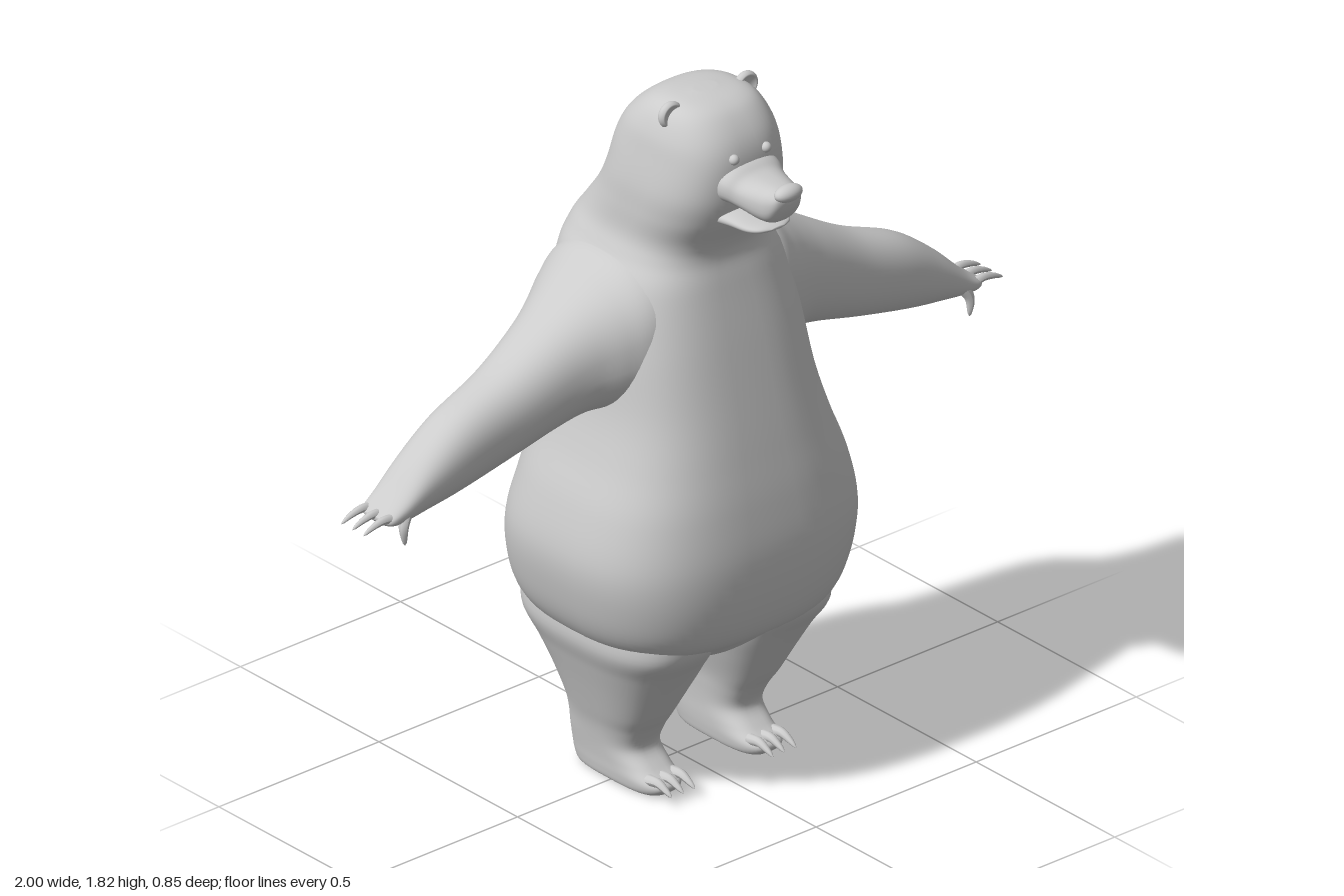
import * as THREE from 'three';

const material = new THREE.MeshStandardMaterial({ color: 0xcccccc, roughness: 0.8 });

// Catmull-Rom interpolation of a whole row of numbers
function sampleRows(rows, u) {
  const last = rows.length - 1;
  const i = Math.min(Math.floor(u), last - 1), f = u - i;
  const p = k => rows[Math.max(0, Math.min(last, k))];
  return rows[0].map((_, c) => {
    const a = p(i - 1)[c], b = p(i)[c], d = p(i + 1)[c], e = p(i + 2)[c];
    return b + 0.5 * f * (d - a + f * (2 * a - 5 * b + 4 * d - e + f * (3 * (b - d) + e - a)));
  });
}

// Closed skin through superellipse sections [t, a0, a1, b0, b1, exponent] along an axis.
// The a and b axes follow in cyclic order: y -> z, x;  x -> y, z;  z -> x, y.
function loft(axis, rows, steps = 6, sides = 48) {
  const place = {
    x: (t, a, b) => [t, a, b],
    y: (t, a, b) => [b, t, a],
    z: (t, a, b) => [a, b, t],
  }[axis];
  const pos = [], index = [], rings = (rows.length - 1) * steps;
  const power = (v, n) => Math.sign(v) * Math.pow(Math.abs(v), 2 / n);
  const middle = r => place(r[0], (r[1] + r[2]) / 2, (r[3] + r[4]) / 2);
  for (let i = 0; i <= rings; i++) {
    const [t, a0, a1, b0, b1, n] = sampleRows(rows, i / steps);
    for (let j = 0; j < sides; j++) {
      const w = (j / sides) * Math.PI * 2;
      pos.push(...place(t,
        (a0 + a1) / 2 + (a1 - a0) / 2 * power(Math.cos(w), n),
        (b0 + b1) / 2 + (b1 - b0) / 2 * power(Math.sin(w), n)));
    }
  }
  const first = pos.length / 3;
  pos.push(...middle(rows[0]), ...middle(rows[rows.length - 1]));
  for (let j = 0; j < sides; j++) {
    const k = (j + 1) % sides, top = rings * sides;
    for (let i = 0; i < rings; i++) {
      const a = i * sides + j, b = i * sides + k;
      index.push(a, b, a + sides, b, b + sides, a + sides);
    }
    index.push(first, k, j, first + 1, top + j, top + k);
  }
  const g = new THREE.BufferGeometry();
  g.setAttribute('position', new THREE.Float32BufferAttribute(pos, 3));
  g.setIndex(index);
  g.computeVertexNormals();
  return g;
}

// Tube whose radius follows a rule along its length
function taperedTube(points, radius, seg = 12, sides = 10) {
  const curve = new THREE.CatmullRomCurve3(points.map(p => new THREE.Vector3(...p)));
  const g = new THREE.TubeGeometry(curve, seg, 1, sides);
  const pos = g.attributes.position, v = new THREE.Vector3();
  for (let k = 0; k < pos.count; k++) {
    const u = Math.floor(k / (sides + 1)) / seg, c = curve.getPointAt(u);
    v.fromBufferAttribute(pos, k).sub(c).multiplyScalar(radius(u)).add(c);
    pos.setXYZ(k, v.x, v.y, v.z);
  }
  g.computeVertexNormals();
  return g;
}
const claw = (points, r) => taperedTube(points, u => r * Math.sqrt(Math.max(0, 1 - u)));

function ellipsoid(rx, ry, rz, x, y, z) {
  return new THREE.SphereGeometry(1, 24, 16).scale(rx, ry, rz).translate(x, y, z);
}

// Rounded ear with a hollow front
function earGeometry() {
  const g = new THREE.SphereGeometry(1, 32, 24).rotateX(Math.PI / 2);
  const p = g.attributes.position;
  for (let i = 0; i < p.count; i++) if (p.getZ(i) > 0.6) p.setZ(i, 1.2 - p.getZ(i));
  g.scale(0.034, 0.034, 0.02);
  g.computeVertexNormals();
  return g.rotateZ(-0.4).translate(0.118, 1.79, 0.11);
}

export function createModel() {
  const model = new THREE.Group();
  model.name = 'bear';
  const add = (name, geometry) => {
    const mesh = new THREE.Mesh(geometry, material);
    mesh.name = name;
    model.add(mesh);
  };
  const addPair = (name, geometry) => {
    const other = geometry.clone().scale(-1, 1, 1);
    other.index.array.reverse(); // restores outward faces
    add(name + 'Left', geometry);
    add(name + 'Right', other);
  };

  // Torso, neck and head in one skin: [y, back, front, half width, exponent]
  const body = [
    [0.31, -0.13, 0.1, 0.05, 2], [0.35, -0.2, 0.19, 0.15, 2.2], [0.41, -0.27, 0.265, 0.29, 2.5],
    [0.46, -0.325, 0.325, 0.345, 2.8], [0.55, -0.34, 0.353, 0.38, 2.9], [0.67, -0.33, 0.36, 0.397, 2.9],
    [0.8, -0.3, 0.343, 0.37, 2.9], [0.92, -0.283, 0.318, 0.325, 2.9], [1.04, -0.277, 0.29, 0.292, 2.9],
    [1.2, -0.272, 0.25, 0.272, 2.9], [1.34, -0.268, 0.212, 0.245, 2.8], [1.41, -0.255, 0.195, 0.208, 2.7],
    [1.46, -0.225, 0.207, 0.188, 2.6], [1.53, -0.175, 0.245, 0.184, 2.6], [1.6, -0.14, 0.265, 0.18, 2.7],
    [1.68, -0.118, 0.268, 0.166, 2.7], [1.74, -0.085, 0.252, 0.152, 2.6], [1.79, -0.03, 0.215, 0.126, 2.5],
    [1.813, 0.02, 0.175, 0.09, 2.4], [1.822, 0.08, 0.12, 0.03, 2],
  ];
  add('bodyAndHead', loft('y', body.map(([y, z0, z1, w, n]) => [y, z0, z1, -w, w, n]), 6, 64));

  // Arms: [x, bottom, top, back, front, exponent]
  addPair('arm', loft('x', [
    [0.1, 1.06, 1.41, -0.24, 0.18, 2.4], [0.2, 1.035, 1.408, -0.24, 0.175, 2.4],
    [0.27, 1.025, 1.37, -0.215, 0.145, 2.3], [0.34, 1.025, 1.325, -0.175, 0.112, 2.3],
    [0.42, 1.008, 1.275, -0.145, 0.09, 2.3], [0.55, 0.973, 1.2, -0.12, 0.07, 2.3],
    [0.7, 0.94, 1.138, -0.105, 0.06, 2.3], [0.8, 0.925, 1.068, -0.095, 0.05, 2.3],
    [0.88, 0.92, 0.992, -0.085, 0.042, 2.4], [0.92, 0.927, 0.96, -0.075, 0.034, 2.4],
    [0.935, 0.94, 0.95, -0.05, 0.01, 2],
  ]));
  [-0.06, -0.02, 0.02].forEach((z, i) => addPair('fingerClaw' + (i + 1), claw(
    [[0.9, 0.945, z], [0.935, 0.952, z], [0.97, 0.945, z], [1, 0.932, z]], 0.013)));
  addPair('thumbClaw', claw([[0.87, 0.95, 0.025], [0.884, 0.92, 0.033], [0.882, 0.872, 0.035]], 0.016));

  // Legs and feet: [y, back, front, inner, outer, exponent]
  addPair('leg', loft('y', [
    [0, -0.13, 0.13, 0.11, 0.205, 3], [0.008, -0.145, 0.152, 0.098, 0.218, 3.2],
    [0.03, -0.155, 0.16, 0.093, 0.223, 3.2], [0.06, -0.16, 0.118, 0.09, 0.226, 3],
    [0.1, -0.162, 0.082, 0.088, 0.232, 2.8], [0.15, -0.163, 0.1, 0.083, 0.242, 2.7],
    [0.2, -0.168, 0.133, 0.075, 0.258, 2.7], [0.28, -0.2, 0.18, 0.05, 0.285, 2.7],
    [0.35, -0.237, 0.222, 0.03, 0.31, 2.7], [0.42, -0.275, 0.265, 0.025, 0.335, 2.7],
    [0.5, -0.27, 0.26, 0.04, 0.33, 2.6],
  ]));
  [0.122, 0.158, 0.194].forEach((x, i) => addPair('toeClaw' + (i + 1), claw(
    [[x, 0.04, 0.12], [x, 0.045, 0.155], [x, 0.037, 0.18], [x, 0.025, 0.205]], 0.015)));

  // Muzzle and lower jaw: [z, half width, bottom, top, exponent]
  const snout = rows => loft('z', rows.map(([z, w, y0, y1, n]) => [z, -w, w, y0, y1, n]), 6, 40);
  add('muzzle', snout([
    [0.2, 0.105, 1.575, 1.7, 2.4], [0.265, 0.092, 1.587, 1.688, 2.4], [0.3, 0.078, 1.582, 1.672, 2.4],
    [0.35, 0.064, 1.57, 1.668, 2.4], [0.38, 0.053, 1.575, 1.665, 2.4], [0.4, 0.038, 1.605, 1.66, 2.2],
    [0.408, 0.015, 1.63, 1.65, 2],
  ]));
  add('lowerJaw', snout([
    [0.2, 0.09, 1.52, 1.572, 2.4], [0.27, 0.078, 1.53, 1.568, 2.4], [0.32, 0.066, 1.532, 1.56, 2.4],
    [0.35, 0.048, 1.538, 1.557, 2.3], [0.365, 0.018, 1.546, 1.552, 2],
  ]));
  add('nose', ellipsoid(0.04, 0.021, 0.024, 0, 1.656, 0.4));

  // Eyes and ears
  addPair('eye', ellipsoid(0.013, 0.013, 0.013, 0.05, 1.706, 0.262));
  addPair('ear', earGeometry());

  // Tail: narrow root, rounded drooping tip
  add('tail', taperedTube(
    [[0, 0.66, -0.31], [0, 0.645, -0.35], [0, 0.59, -0.378], [0, 0.54, -0.395], [0, 0.51, -0.4]],
    u => (0.022 + 0.016 * u) * Math.sqrt(Math.max(0, 1 - Math.pow(u, 6))), 24, 16));

  return model;
}
